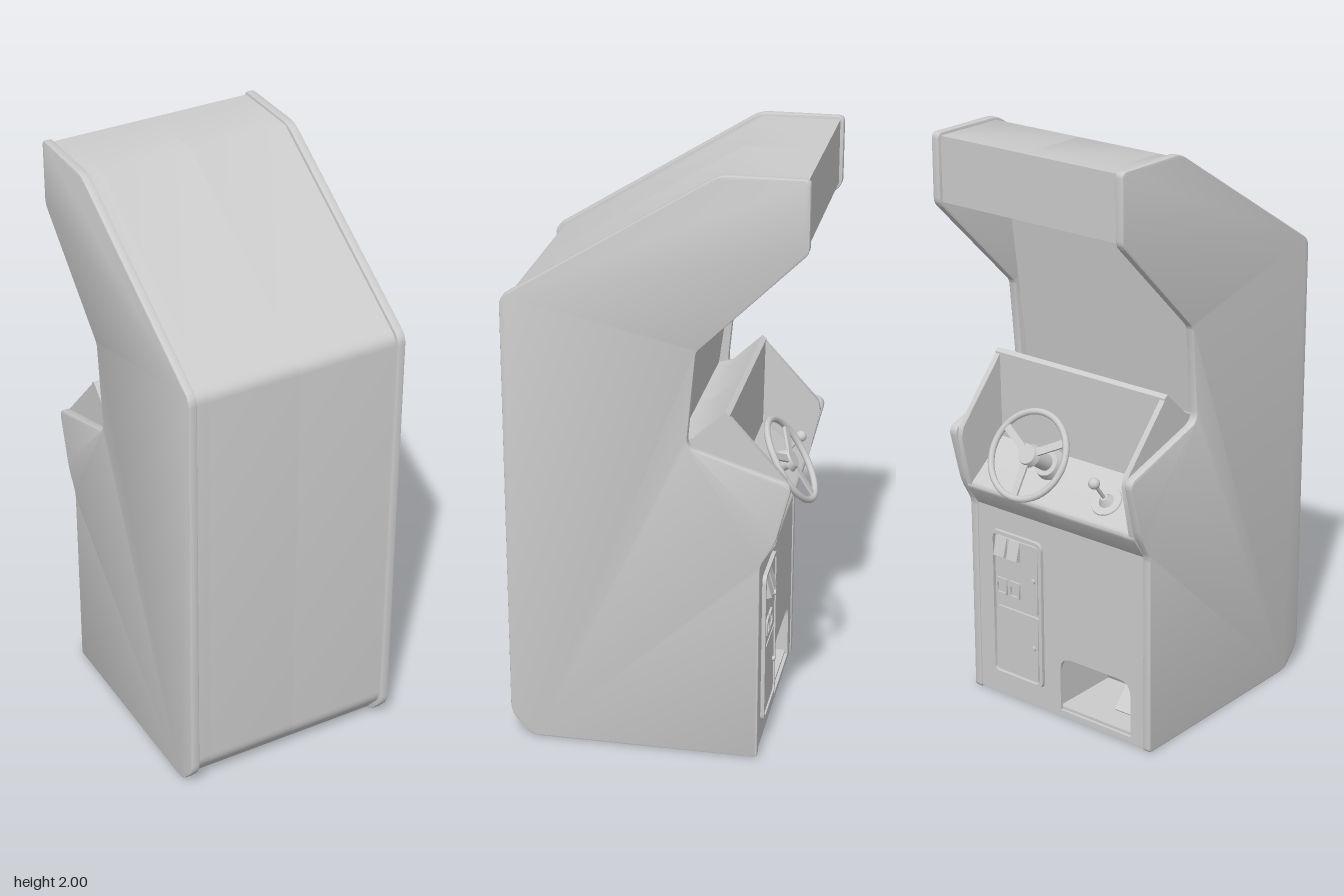
import * as THREE from 'three';
import { toCreasedNormals } from 'three/addons/utils/BufferGeometryUtils.js';

const material = new THREE.MeshStandardMaterial({ color: 0xcccccc });

function add(parent, name, geometry, x = 0, y = 0, z = 0) {
  const mesh = new THREE.Mesh(geometry, material);
  mesh.name = name;
  mesh.position.set(x, y, z);
  parent.add(mesh);
  return mesh;
}

// Closed outline from [a, b, cornerRadius] points
function outline(points, Type = THREE.Shape) {
  const path = new Type();
  const v = points.map(p => new THREE.Vector2(p[0], p[1]));
  points.forEach((p, i) => {
    const c = v[i], r = p[2] || 0;
    const toward = q => c.clone().add(q.clone().sub(c).setLength(r));
    const a = r ? toward(v[(i + v.length - 1) % v.length]) : c;
    if (i) path.lineTo(a.x, a.y); else path.moveTo(a.x, a.y);
    if (r) {
      const b = toward(v[(i + 1) % v.length]);
      path.quadraticCurveTo(c.x, c.y, b.x, b.y);
    }
  });
  path.closePath();
  return path;
}

function rect(x0, x1, y0, y1, r, Type) {
  return outline([[x0, y0, r], [x1, y0, r], [x1, y1, r], [x0, y1, r]], Type);
}

// Extrudes a (z, y) profile across the width from x0 to x1
function acrossX(points, x0, x1, bevel = 0) {
  const g = new THREE.ExtrudeGeometry(outline(points), {
    depth: x1 - x0 - 2 * bevel, curveSegments: 5, bevelEnabled: bevel > 0,
    bevelThickness: bevel, bevelSize: bevel, bevelOffset: -bevel, bevelSegments: 2,
  });
  g.rotateY(-Math.PI / 2).translate(x1 - bevel, 0, 0);
  return toCreasedNormals(g, 0.6);
}

// Extrudes an (x, y) shape between two z values
function alongZ(shape, z0, z1) {
  const g = new THREE.ExtrudeGeometry(shape, { depth: z1 - z0, bevelEnabled: false, curveSegments: 6 });
  return toCreasedNormals(g.translate(0, 0, z0), 0.6);
}

const SIDE = [
  [0.49, 1.565, 0.03], [-0.21, 2, 0.03], [-0.49, 2, 0.02], [-0.49, 1.77, 0.02],
  [-0.14, 1.425, 0.015], [-0.11, 1.1, 0.035], [-0.452, 0.995, 0.03], [-0.4, 0.79, 0.03],
  [-0.352, 0.705, 0.02], [-0.352, 0, 0.015], [0.42, 0, 0.03], [0.49, 0.08, 0.03],
];

const CORE = [
  [0.41, 0.01], [0.478, 0.095, 0.03], [0.478, 1.557, 0.03], [-0.22, 1.99], [-0.478, 1.99],
  [-0.478, 1.775], [-0.17, 1.775], [-0.08, 1.11], [-0.13, 1.125], [-0.23, 1.22],
  [-0.245, 1.21], [-0.24, 0.91], [-0.405, 0.785, 0.02], [-0.347, 0.7],
];
const SOLID_FOOT = [[-0.336, 0.69], [-0.336, 0.01]];
const RECESS_FOOT = [[-0.336, 0.69], [-0.336, 0.25], [-0.2, 0.25], [-0.08, 0.04], [-0.336, 0.04], [-0.336, 0.01]];

function buildCoinDoor(parent) {
  const door = new THREE.Group();
  door.name = 'coinDoor';
  const frame = rect(0.07, 0.295, 0.085, 0.625, 0.03);
  frame.holes.push(rect(0.083, 0.282, 0.098, 0.612, 0.02, THREE.Path));
  add(door, 'doorFrame', alongZ(frame, -0.36, -0.346));
  add(door, 'upperDoor', alongZ(rect(0.09, 0.275, 0.355, 0.605, 0.012), -0.356, -0.346));
  add(door, 'lowerDoor', alongZ(rect(0.09, 0.275, 0.105, 0.345, 0.012), -0.356, -0.346));
  // Two sloping coin buttons above two return flaps
  const button = [[-0.35, 0.605], [-0.357, 0.605], [-0.375, 0.54], [-0.35, 0.53]];
  for (const x of [0.165, 0.222]) {
    add(door, 'coinButton', acrossX(button, x, x + 0.046));
    const flap = rect(x, x + 0.046, 0.395, 0.455, 0.004);
    flap.holes.push(rect(x + 0.007, x + 0.039, 0.402, 0.435, 0.002, THREE.Path));
    add(door, 'returnFlap', alongZ(flap, -0.363, -0.35));
  }
  for (const y of [0.48, 0.23]) {
    const lock = new THREE.CylinderGeometry(0.009, 0.009, 0.012, 16).rotateX(Math.PI / 2);
    add(door, 'lock', lock, 0.108, y, -0.359);
  }
  parent.add(door);
}

function buildWheel(parent) {
  const wheel = new THREE.Group();
  wheel.name = 'steeringWheel';
  wheel.position.set(0.08, 0.958, -0.402);
  wheel.rotation.x = -1.01;
  add(wheel, 'rim', new THREE.TorusGeometry(0.147, 0.011, 10, 48).rotateX(Math.PI / 2));
  add(wheel, 'hub', new THREE.CylinderGeometry(0.032, 0.04, 0.022, 24));
  add(wheel, 'column', new THREE.CylinderGeometry(0.024, 0.03, 0.13, 20), 0, -0.07, 0);
  add(wheel, 'columnCollar', new THREE.CylinderGeometry(0.045, 0.055, 0.03, 24), 0, -0.115, 0);
  for (let i = 0; i < 3; i++) {
    const angle = Math.PI + i * Math.PI * 2 / 3;
    const spoke = new THREE.BoxGeometry(0.026, 0.008, 0.12).translate(0, 0, 0.085).rotateY(angle);
    add(wheel, 'spoke', spoke);
  }
  parent.add(wheel);
}

function buildShifter(parent) {
  const shifter = new THREE.Group();
  shifter.name = 'gearShifter';
  shifter.position.set(-0.19, 0.842, -0.33);
  shifter.rotation.x = -0.65;
  add(shifter, 'shifterPlate', new THREE.CylinderGeometry(0.052, 0.055, 0.01, 28));
  add(shifter, 'shifterBoot', new THREE.CylinderGeometry(0.012, 0.028, 0.025, 20), 0, 0.015, 0);
  add(shifter, 'shifterStick', new THREE.CylinderGeometry(0.006, 0.006, 0.1, 12), 0, 0.055, 0);
  add(shifter, 'shifterKnob', new THREE.SphereGeometry(0.019, 20, 14), 0, 0.107, 0);
  parent.add(shifter);
}

export function createModel() {
  const model = new THREE.Group();
  model.name = 'drivingArcadeCabinet';

  // Side panels with rounded edge trim
  add(model, 'leftSidePanel', acrossX(SIDE, 0.355, 0.385, 0.005));
  add(model, 'rightSidePanel', acrossX(SIDE, -0.385, -0.355, 0.005));

  // Cabinet body, with a pedal recess in one section
  add(model, 'bodyLeft', acrossX([...CORE, ...SOLID_FOOT], 0.01, 0.356));
  add(model, 'bodyMiddle', acrossX([...CORE, ...RECESS_FOOT], -0.31, 0.01));
  add(model, 'bodyRight', acrossX([...CORE, ...SOLID_FOOT], -0.356, -0.31));

  // Lower front panel with the pedal opening
  const front = rect(-0.356, 0.356, 0.01, 0.7, 0);
  front.holes.push(outline([[-0.3, 0.03], [0, 0.03], [0, 0.23, 0.05], [-0.3, 0.23, 0.05]], THREE.Path));
  add(model, 'frontPanel', alongZ(front, -0.347, -0.335));

  // Accelerator pedal
  const pedal = add(model, 'pedal', new THREE.BoxGeometry(0.08, 0.15, 0.012), -0.2, 0.1, -0.2);
  pedal.rotation.x = 0.75;

  // Cheeks on both sides of the control panel
  const cheek = [[-0.13, 1.125], [-0.23, 1.22], [-0.43, 1], [-0.438, 0.965], [-0.4, 0.785], [-0.24, 0.9]];
  for (const s of [-1, 1]) {
    const x = s * 0.346;
    add(model, s > 0 ? 'leftCheek' : 'rightCheek', acrossX(cheek, x - 0.01, x + 0.01));
  }

  buildWheel(model);
  buildShifter(model);
  buildCoinDoor(model);
  return model;
}
